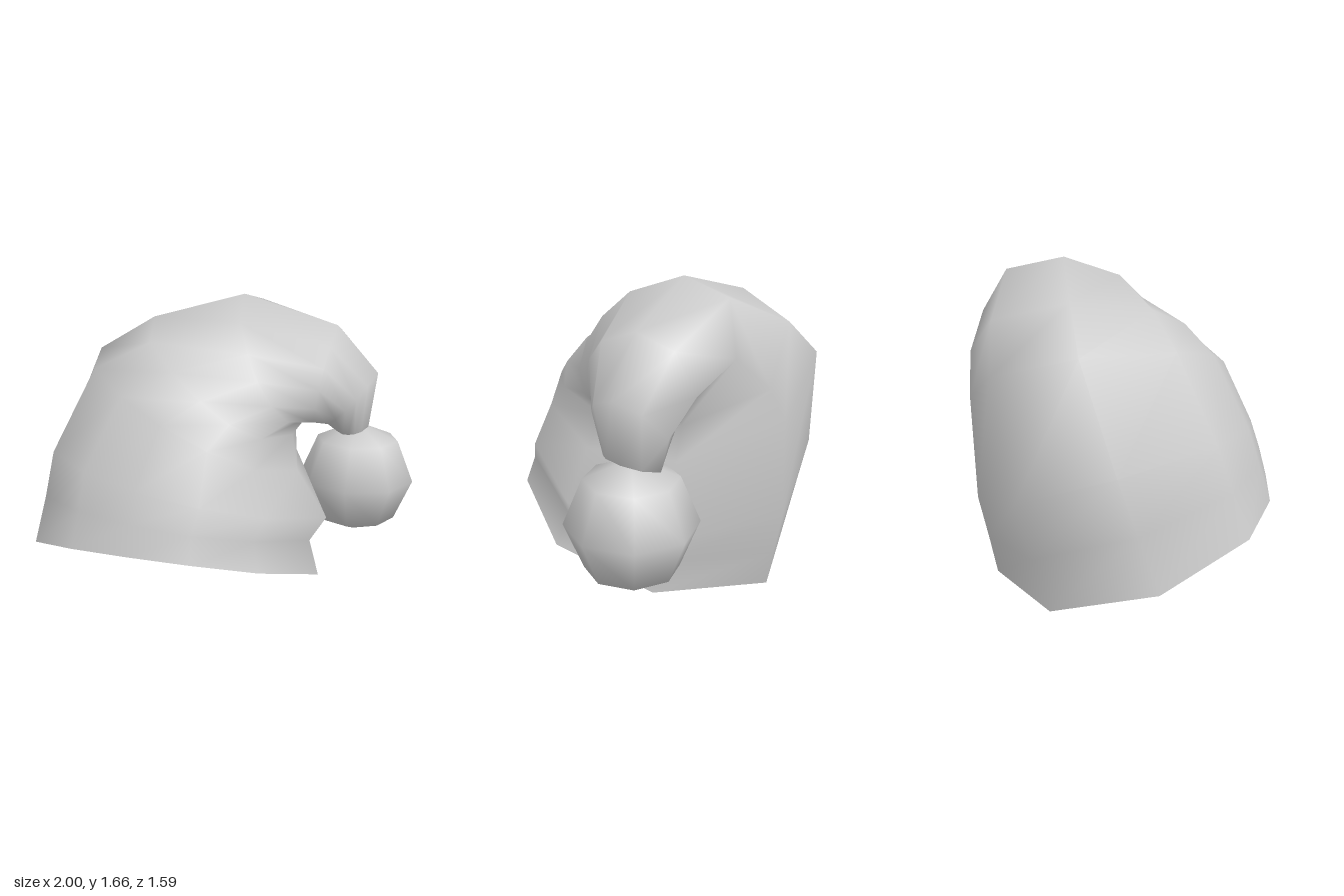
import * as THREE from 'three';

// Each ring of the drooping hat: outer, front, inner and back points
const RINGS = [
  [[-1, 0.27, 0.13], [-0.19, 0.53, 0.79], [0.61, 0.27, 0.13], [-0.19, 0, -0.66]],
  [[-0.97, 0.55, 0.03], [-0.18, 0.68, 0.75], [0.55, 0.44, 0.09], [-0.18, 0.2, -0.7]],
  [[-0.94, 0.82, -0.06], [-0.17, 0.83, 0.7], [0.62, 0.55, 0.02], [-0.17, 0.43, -0.75]],
  [[-0.77, 1.33, -0.22], [-0.09, 1.13, 0.56], [0.46, 0.8, 0.03], [-0.12, 0.97, -0.77]],
  [[-0.45, 1.52, -0.25], [0.06, 1.23, 0.43], [0.41, 0.97, -0.04], [0.02, 1.18, -0.77]],
  [[0.07, 1.665, -0.27], [0.29, 1.29, 0.2], [0.44, 1.02, -0.19], [0.22, 1.36, -0.71]],
  [[0.56, 1.5, -0.4], [0.54, 1.21, -0.06], [0.47, 0.97, -0.33], [0.5, 1.25, -0.71]],
  [[0.78, 1.24, -0.46], [0.65, 1.07, -0.23], [0.51, 0.95, -0.43], [0.64, 1.08, -0.67]],
  [[0.74, 0.93, -0.47], [0.66, 0.92, -0.3], [0.57, 0.91, -0.48], [0.66, 0.92, -0.64]],
];
// Finer spacing around the front than around the back
const ANGLES = [0, 41, 67, 90, 113, 139, 180, 221, 270, 319].map(THREE.MathUtils.degToRad);
const N = ANGLES.length;

function makeGeometry(points, index) {
  const geometry = new THREE.BufferGeometry().setFromPoints(points);
  geometry.setIndex(index);
  geometry.computeVertexNormals();
  return geometry;
}

// Bent ellipse passing exactly through the four points of a ring
function ringPoints(ring) {
  const [l, f, r, b] = ring.map((p) => new THREE.Vector3(...p));
  const across = l.clone().lerp(r, 0.5);
  const along = f.clone().lerp(b, 0.5);
  const u = l.sub(across);
  const v = f.sub(along);
  const points = ANGLES.map((a) => across.clone().lerp(along, Math.sin(a) ** 2)
    .addScaledVector(u, Math.cos(a)).addScaledVector(v, Math.sin(a)));
  return { centre: across.lerp(along, 0.5), points };
}

export function createModel() {
  const group = new THREE.Group();
  const material = new THREE.MeshStandardMaterial({ color: 0xcccccc });
  const add = (name, geometry) => {
    const mesh = new THREE.Mesh(geometry, material);
    mesh.name = name;
    group.add(mesh);
    return mesh;
  };

  // Cloth body, closed at the tip
  const rings = RINGS.map(ringPoints);
  const points = rings.flatMap((r) => r.points);
  const last = RINGS.length - 1;
  points.push(rings[last].centre);
  const index = [];
  for (let i = 0; i < N; i++) {
    const k = (i + 1) % N;
    for (let j = 0; j < last; j++) {
      const a = j * N + i, b = j * N + k;
      index.push(a, b, b + N, a, b + N, a + N);
    }
    index.push(last * N + i, last * N + k, points.length - 1);
  }
  add('hatBody', makeGeometry(points, index));

  // Flat underside of the brim
  const base = rings[0];
  const capIndex = [];
  for (let i = 0; i < N; i++) capIndex.push(N, (i + 1) % N, i);
  add('hatUnderside', makeGeometry([...base.points, base.centre], capIndex));

  // Bobble hanging under the tip
  add('bobble', new THREE.SphereGeometry(0.32, 8, 4)).position.set(0.68, 0.63, -0.48);

  return group;
}
